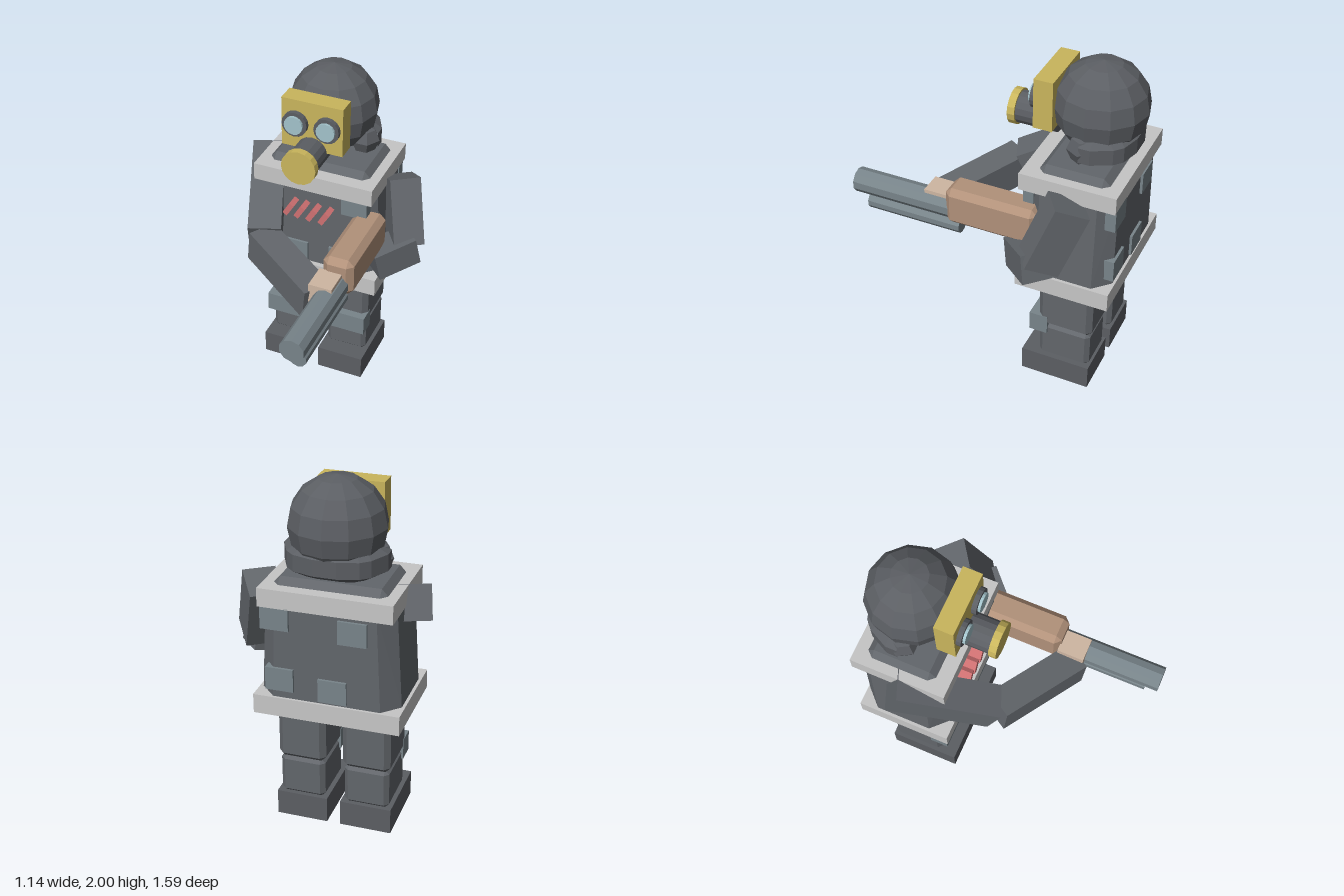
import * as THREE from 'three';
import { ConvexGeometry } from 'three/addons/geometries/ConvexGeometry.js';

const mat = (name, color) => {
  const m = new THREE.MeshStandardMaterial({ color });
  m.name = name;
  m.flatShading = true;
  return m;
};

// Box with all edges cut; top scales the width at the upper end
function bevelBox(w, h, d, b, top = 1) {
  const pts = [];
  for (const sx of [-1, 1]) for (const sy of [-1, 1]) for (const sz of [-1, 1]) {
    for (const [ix, iy, iz] of [[0, b, b], [b, 0, b], [b, b, 0]]) {
      const x = sx * (w / 2 - ix) * (sy > 0 ? top : 1);
      pts.push(new THREE.Vector3(x, sy * (h / 2 - iy), sz * (d / 2 - iz)));
    }
  }
  return new ConvexGeometry(pts);
}

export function createModel() {
  const root = new THREE.Group();
  root.name = 'armouredFigure';
  const suit = mat('suit grey', 0x62666b);
  const dark = mat('dark grey', 0x5b5e63);
  const strap = mat('strap light grey', 0xc6c6c6);
  const steel = mat('steel grey', 0x78848a);
  const brass = mat('brass yellow', 0xc9b55c);
  const wood = mat('wood brown', 0xb1917a);
  const skin = mat('pale tan', 0xceb6a2);
  const red = mat('shell red', 0xd07172);
  const glass = mat('lens blue', 0xa3c3cb);

  const add = (name, geo, m, x = 0, y = 0, z = 0) => {
    const mesh = new THREE.Mesh(geo, m);
    mesh.name = name;
    mesh.position.set(x, y, z);
    root.add(mesh);
    return mesh;
  };
  // Box given by its limits, optionally bevelled
  const box = (name, m, [x0, x1], [y0, y1], [z0, z1], bevel = 0, top = 1) => {
    const s = [x1 - x0, y1 - y0, z1 - z0];
    const geo = bevel ? bevelBox(...s, bevel, top) : new THREE.BoxGeometry(...s);
    return add(name, geo, m, (x0 + x1) / 2, (y0 + y1) / 2, (z0 + z1) / 2);
  };
  // Cylinder lying along z
  const rod = (name, m, x, y, r, z0, z1, sides) => {
    const geo = new THREE.CylinderGeometry(r, r, z1 - z0, sides).rotateX(Math.PI / 2);
    return add(name, geo, m, x, y, (z0 + z1) / 2);
  };
  // Square limb between two points
  const limb = (name, a, b, w, h) => {
    const p = new THREE.Vector3(...a), q = new THREE.Vector3(...b);
    const mid = p.clone().add(q).multiplyScalar(0.5);
    const mesh = add(name, new THREE.BoxGeometry(w, h, p.distanceTo(q)), suit, mid.x, mid.y, mid.z);
    mesh.lookAt(q);
  };
  const cx = -0.053;

  // Legs
  for (const s of [-1, 1]) {
    const side = s > 0 ? 'left' : 'right';
    const x = cx + s * 0.183;
    const span = (half) => [x - half, x + half];
    box(side + 'Boot', dark, span(0.145), [0, 0.147], [-0.65, -0.235]);
    box(side + 'Shin', suit, span(0.127), [0.14, 0.38], [-0.64, -0.33], 0.025);
    box(side + 'Thigh', suit, span(0.135), [0.37, 0.73], [-0.65, -0.325], 0.03);
    box(side + 'KneePad', steel, span(0.138), [0.32, 0.44], [-0.385, -0.275]);
  }

  // Torso with belt and shoulder band
  box('torso', suit, [cx - 0.385, cx + 0.385], [0.72, 1.467], [-0.75, -0.245], 0.09, 0.92);
  box('belt', strap, [-0.455, 0.35], [0.7, 0.81], [-0.765, -0.215]);
  box('shoulderBand', strap, [-0.415, 0.31], [1.327, 1.43], [-0.765, -0.215]);

  // Armour patches: x, y, z
  const patches = [
    [0.2, 1.28, -0.26], [-0.163, 0.88, -0.26], [0.125, 0.89, -0.26],
    [0.22, 1.27, -0.735], [-0.2, 1.24, -0.735], [0.2, 0.92, -0.735], [-0.09, 0.89, -0.735],
  ];
  for (const [x, y, z] of patches) add('armourPatch', new THREE.BoxGeometry(0.155, 0.13, 0.06), steel, x, y, z);

  // Row of shells on the chest
  [-0.18, -0.11, -0.037, 0.04].forEach((x, i) => {
    const shell = add('chestShell', new THREE.BoxGeometry(0.032, 0.085, 0.08), red, x, 1.205 - i * 0.003, -0.205);
    shell.rotation.z = -0.55;
  });

  // Head and the hood roll behind it
  add('head', new THREE.SphereGeometry(0.262, 12, 8), dark, cx, 1.738, -0.53);
  const rollPath = new THREE.CurvePath();
  const stops = [[-0.2, -0.51], [-0.2, -0.6], [-0.11, -0.68], [0.11, -0.68], [0.2, -0.6], [0.2, -0.51]]
    .map(([x, z]) => new THREE.Vector3(x + cx, 1.575, z));
  for (let i = 1; i < stops.length; i++) rollPath.add(new THREE.LineCurve3(stops[i - 1], stops[i]));
  add('hoodRoll', new THREE.TubeGeometry(rollPath, 10, 0.09, 6, false), dark);
  for (const p of [stops[0], stops[5]]) {
    add('hoodRollEnd', new THREE.SphereGeometry(0.09, 6, 4), dark, p.x, p.y, p.z);
  }

  // Gas mask: face plate, eyepieces and filter
  box('maskPlate', brass, [-0.235, 0.13], [1.61, 1.905], [-0.325, -0.215]);
  for (const x of [cx - 0.095, cx + 0.095]) {
    rod('eyeRing', dark, x, 1.765, 0.075, -0.22, -0.187, 16);
    rod('eyeLens', glass, x, 1.765, 0.055, -0.19, -0.172, 16);
  }
  rod('filterBody', dark, cx, 1.6, 0.092, -0.3, -0.07, 16);
  rod('filterCap', brass, cx, 1.6, 0.103, -0.07, -0.027, 16);

  // Arms: the right one reaches across to the fore-grip
  limb('rightUpperArm', [-0.45, 1.345, -0.51], [-0.25, 1.1, 0.0], 0.19, 0.19);
  limb('rightForearm', [-0.265, 1.085, 0.02], [0.2, 1.01, 0.305], 0.17, 0.19);
  limb('leftUpperArm', [0.37, 1.36, -0.53], [0.46, 1.0, -0.4], 0.18, 0.2);
  limb('leftForearm', [0.5, 1.0, -0.41], [0.32, 0.94, -0.23], 0.17, 0.17);

  // Shotgun
  box('gunStock', wood, [0.187, 0.367], [1.0, 1.23], [-0.34, 0.207], 0.035);
  box('gripHand', skin, [0.175, 0.31], [1.03, 1.15], [0.2, 0.355]);
  rod('upperBarrel', steel, 0.275, 1.067, 0.072, 0.15, 0.797, 10);
  rod('lowerBarrel', steel, 0.275, 0.95, 0.05, 0.14, 0.72, 10);

  return root;
}
